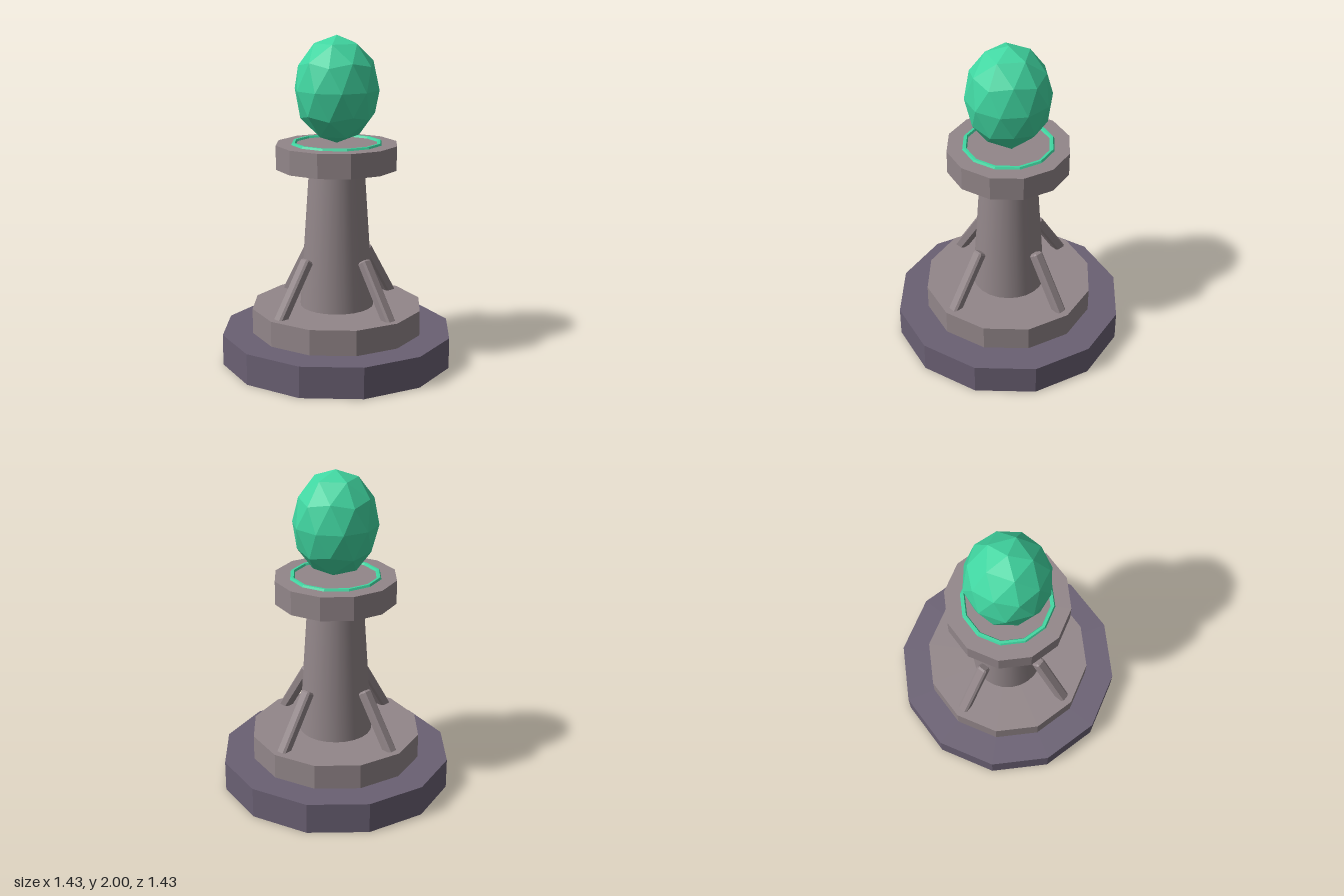
import * as THREE from 'three';

const material = (name, color) => {
  const m = new THREE.MeshStandardMaterial({ color });
  m.name = name;
  return m;
};

// One normal per face, for the faceted parts
function faceted(geometry) {
  const g = geometry.index ? geometry.toNonIndexed() : geometry;
  g.computeVertexNormals();
  return g;
}

export function createModel() {
  const darkStone = material('dark stone', 0x6a6073);
  const stone = material('stone', 0x928689);
  const crystal = material('green crystal', 0x40d6a1);

  const model = new THREE.Group();
  model.name = 'crystalPedestal';

  const add = (name, geometry, mat, y = 0, parent = model) => {
    const mesh = new THREE.Mesh(geometry, mat);
    mesh.name = name;
    mesh.position.y = y;
    parent.add(mesh);
    return mesh;
  };

  // Twelve-sided slab standing between two heights
  const slab = (name, radius, y0, y1, mat) =>
    add(name, faceted(new THREE.CylinderGeometry(radius, radius, y1 - y0, 12)), mat, (y0 + y1) / 2);

  slab('base', 0.714, 0, 0.19, darkStone);
  slab('step', 0.528, 0.19, 0.345, stone);
  slab('capital', 0.373, 1.205, 1.352, stone);

  // Smooth tapering column
  add('column', new THREE.CylinderGeometry(0.168, 0.226, 0.87, 24, 1), stone, 0.775);

  // Four chamfered struts leaning in against the column
  const h = 0.034, c = 0.012, k = h - c;
  const section = new THREE.Shape(
    [[h, -k], [h, k], [k, h], [-k, h], [-h, k], [-h, -k], [-k, -h], [k, -h]]
      .map(([x, y]) => new THREE.Vector2(x, y * 0.93)));
  const strutGeometry = faceted(new THREE.ExtrudeGeometry(section, {
    depth: 0.42, bevelEnabled: true, bevelSegments: 1,
    bevelThickness: 0.01, bevelSize: 0.01, bevelOffset: -0.01,
  }).rotateX(-Math.PI / 2));
  for (let i = 0; i < 4; i++) {
    const arm = new THREE.Group();
    arm.name = 'strutArm';
    arm.rotation.y = i * Math.PI / 2;
    model.add(arm);
    const strut = add('strut', strutGeometry, stone, 0.305, arm);
    strut.position.z = 0.473;
    strut.rotation.x = -0.574;
  }

  // Glowing ring half sunk into the capital
  add('ring', faceted(new THREE.TorusGeometry(0.265, 0.015, 6, 12).rotateX(Math.PI / 2)), crystal, 1.351);

  // Faceted egg-shaped crystal, a corner turned to the top
  const gem = new THREE.IcosahedronGeometry(1, 1);
  gem.rotateZ(-Math.atan2(1, (1 + Math.sqrt(5)) / 2));
  gem.scale(0.258, 0.322, 0.258);
  add('crystal', faceted(gem), crystal, 1.678);

  return model;
}
